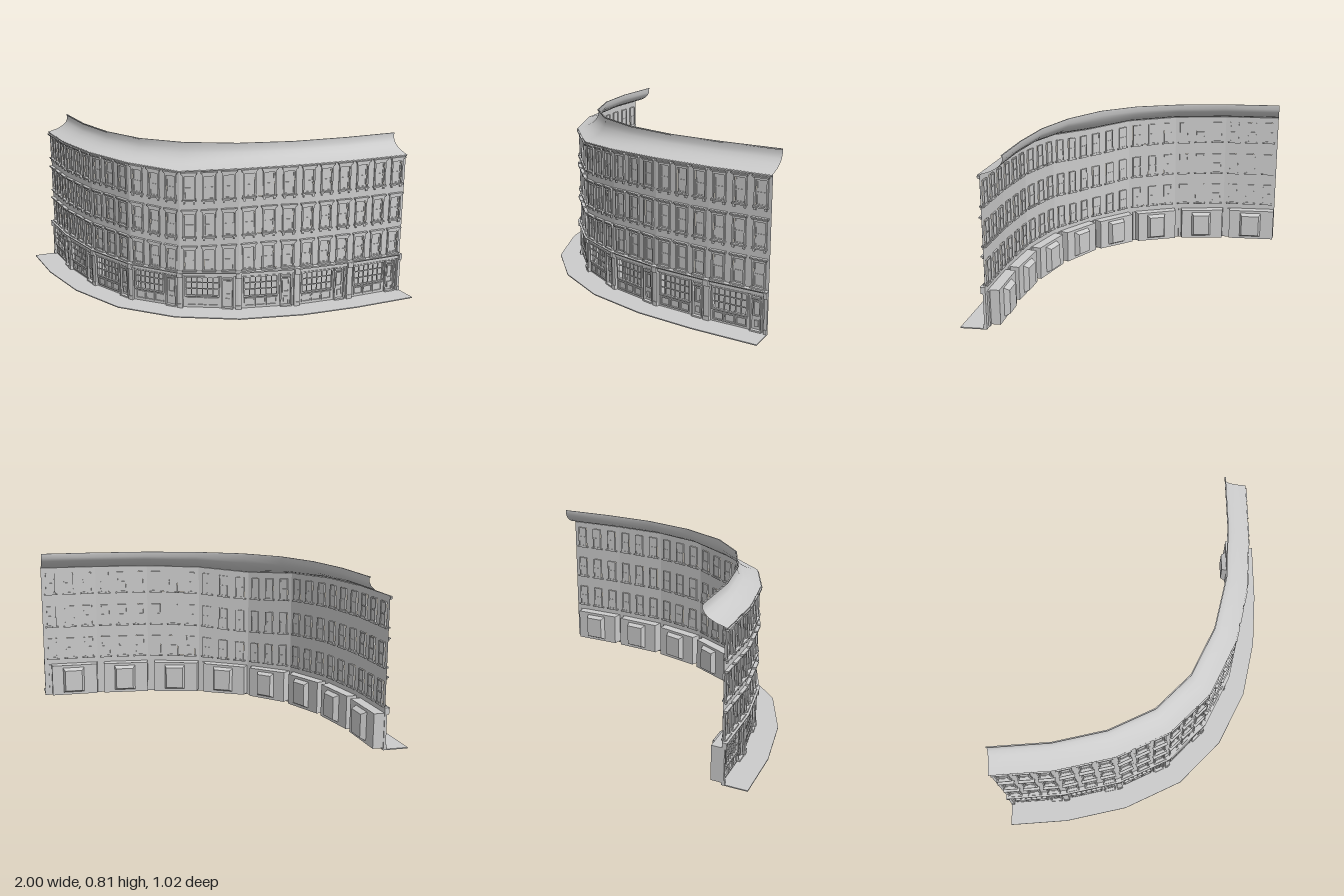
import * as THREE from 'three';
import { mergeGeometries } from 'three/addons/utils/BufferGeometryUtils.js';

// The terrace follows two polylines: back edge of the roof and outer edge of the pavement
const INNER = [[-0.79, -0.51], [-0.67, -0.24], [-0.53, -0.02], [-0.36, 0.15], [-0.15, 0.25], [0.11, 0.28], [0.38, 0.25], [0.65, 0.17], [0.91, 0.07]];
const OUTER = [[-1, -0.43], [-0.88, -0.16], [-0.71, 0.11], [-0.48, 0.34], [-0.2, 0.47], [0.11, 0.51], [0.42, 0.47], [0.7, 0.39], [1, 0.28]];
const BAYS = 8;
const WALL = -0.01; // depth of the wall sheet; depth 0 is halfway between the polylines
const FLOORS = [0.212, 0.393, 0.577];
const WIN_H = 0.113, WIN_W = 0.085; // window height, half width in bay units

const { lerp, smoothstep } = THREE.MathUtils;

// Straight street space (u along the street, y up, d outwards) to the curved street
function place(u, y, d) {
  const i = Math.min(BAYS - 1, Math.max(0, Math.floor(u)));
  const t = u - i, f = 0.5 + d / 0.23;
  const at = (k) => lerp(lerp(INNER[i][k], INNER[i + 1][k], t), lerp(OUTER[i][k], OUTER[i + 1][k], t), f);
  const x = at(0);
  // The old houses sag a little near the middle
  const sag = 0.025 * Math.exp(-(((x + 0.16) / 0.24) ** 2));
  return [x, y - sag * smoothstep(y, 0.1, 0.3) * (1 - smoothstep(y, 0.72, 0.8)), at(1)];
}

function bend(geo) {
  const p = geo.attributes.position;
  for (let i = 0; i < p.count; i++) p.setXYZ(i, ...place(p.getX(i), p.getY(i), p.getZ(i)));
  geo.computeVertexNormals();
  return geo;
}

function plain(geo) {
  const g = geo.index ? geo.toNonIndexed() : geo;
  g.deleteAttribute('uv');
  g.deleteAttribute('normal');
  return g;
}

function box(u0, u1, y0, y1, d0, d1) {
  return plain(new THREE.BoxGeometry(u1 - u0, y1 - y0, d1 - d0).translate((u0 + u1) / 2, (y0 + y1) / 2, (d0 + d1) / 2));
}

// Four bars around an opening
function frame(u0, u1, y0, y1, w, h, d0, d1) {
  return [
    box(u0, u0 + w, y0, y1, d0, d1), box(u1 - w, u1, y0, y1, d0, d1),
    box(u0 + w, u1 - w, y0, y0 + h, d0, d1), box(u0 + w, u1 - w, y1 - h, y1, d0, d1),
  ];
}

function rectPath(u0, u1, y0, y1, Type) {
  return new Type([[u0, y0], [u1, y0], [u1, y1], [u0, y1]].map(([u, y]) => new THREE.Vector2(u, y)));
}

export function createModel() {
  const group = new THREE.Group();
  const mat = new THREE.MeshStandardMaterial({ color: 0xcccccc, side: THREE.DoubleSide });
  const parts = {};
  const add = (name, ...geos) => (parts[name] ??= []).push(...geos);

  for (let b = 0; b < BAYS; b++) {
    // Wall sheet with openings for windows, shop window and door
    const wall = rectPath(b, b + 1, 0.005, 0.72, THREE.Shape);
    const centres = [1, 3, 5].map((k) => b + k / 6);
    for (const y of FLOORS) for (const c of centres) wall.holes.push(rectPath(c - WIN_W, c + WIN_W, y, y + WIN_H, THREE.Path));
    wall.holes.push(rectPath(b + 0.1, b + 0.66, 0.07, 0.172, THREE.Path));
    wall.holes.push(rectPath(b + 0.73, b + 0.9, 0.012, 0.172, THREE.Path));
    add('wall', plain(new THREE.ShapeGeometry(wall).translate(0, 0, WALL)));

    // Pavement
    add('pavement', box(b, b + 1, 0, 0.005, WALL, 0.115));

    // Upper windows
    for (const y of FLOORS) for (const c of centres) {
      const l = c - WIN_W, r = c + WIN_W, top = y + WIN_H, mid = y + WIN_H * 0.5;
      add('windowGlass', box(l, r, y, top, WALL - 0.006, WALL - 0.004));
      add('windowSash',
        ...frame(l, r, y, top, 0.018, 0.006, WALL - 0.009, WALL - 0.001),
        box(l, r, mid - 0.003, mid + 0.003, WALL - 0.009, WALL - 0.001));
      add('windowSurround',
        box(l - 0.025, l, y, top, WALL, WALL + 0.007), box(r, r + 0.025, y, top, WALL, WALL + 0.007),
        box(l - 0.025, r + 0.025, top, top + 0.01, WALL, WALL + 0.007));
      add('windowHood',
        box(l - 0.04, r + 0.04, top + 0.01, top + 0.016, WALL, WALL + 0.012),
        box(l - 0.05, r + 0.05, top + 0.016, top + 0.022, WALL, WALL + 0.017));
      add('windowSill',
        box(l - 0.035, r + 0.035, y - 0.007, y, WALL - 0.01, WALL + 0.014),
        box(l - 0.015, l + 0.015, y - 0.019, y - 0.007, WALL, WALL + 0.009),
        box(r - 0.015, r + 0.015, y - 0.019, y - 0.007, WALL, WALL + 0.009));
    }

    // Shop window with small panes and a panelled base
    add('shopWindow', ...frame(b + 0.08, b + 0.68, 0.064, 0.176, 0.025, 0.007, WALL - 0.004, WALL + 0.009));
    for (let k = 1; k < 6; k++) {
      const u = b + 0.1 + (0.56 * k) / 6;
      add('shopWindow', box(u - 0.007, u + 0.007, 0.07, 0.17, WALL - 0.003, WALL + 0.004));
    }
    for (const y of [0.104, 0.138]) add('shopWindow', box(b + 0.1, b + 0.66, y - 0.002, y + 0.002, WALL - 0.003, WALL + 0.004));
    for (let k = 0; k < 3; k++) {
      const u = b + 0.1 + k * 0.19;
      add('shopBasePanel', ...frame(u, u + 0.18, 0.015, 0.058, 0.018, 0.006, WALL, WALL + 0.006));
    }

    // Shop door with upper glazing and lower panel
    add('shopDoor',
      box(b + 0.73, b + 0.9, 0.012, 0.172, WALL - 0.008, WALL - 0.004),
      ...frame(b + 0.71, b + 0.92, 0.006, 0.176, 0.025, 0.006, WALL - 0.008, WALL + 0.008),
      ...frame(b + 0.755, b + 0.875, 0.075, 0.148, 0.02, 0.006, WALL - 0.005, WALL + 0.002),
      box(b + 0.78, b + 0.85, 0.026, 0.055, WALL - 0.005, WALL + 0.002),
      box(b + 0.735, b + 0.895, 0.153, 0.158, WALL - 0.005, WALL + 0.004),
      box(b + 0.72, b + 0.91, 0.004, 0.012, WALL, WALL + 0.014));

    // Pilasters between shops, with base and capital
    for (const [u0, u1] of [[b, b + 0.05], [b + 0.95, b + 1]]) {
      add('shopPilaster',
        box(u0, u1, 0.005, 0.185, WALL, WALL + 0.012),
        box(u0, u1, 0.005, 0.025, WALL, WALL + 0.016),
        box(u0, u1, 0.172, 0.198, WALL, WALL + 0.022));
    }

    // Shop fascia and cornice, eaves moulding
    add('shopFascia', box(b, b + 1, 0.178, 0.195, WALL, WALL + 0.01));
    add('shopCornice', box(b, b + 1, 0.195, 0.2, WALL, WALL + 0.018), box(b, b + 1, 0.2, 0.204, WALL, WALL + 0.024));
    add('eavesMoulding', box(b, b + 1, 0.713, 0.72, WALL, WALL + 0.01));

    // Shop room behind the front, open towards the shop window
    const back = -0.062;
    add('shopRoom',
      box(b + 0.01, b + 0.87, 0.01, 0.178, back, back + 0.002),
      box(b + 0.01, b + 0.02, 0.01, 0.178, back, WALL), box(b + 0.86, b + 0.87, 0.01, 0.178, back, WALL),
      box(b + 0.01, b + 0.87, 0.176, 0.178, back, WALL), box(b + 0.01, b + 0.87, 0.01, 0.012, back, WALL));

    // Tapered alcove on the back of the room
    const alcove = box(-0.2, 0.2, -0.07, 0.07, -0.026, 0);
    const p = alcove.attributes.position;
    for (let i = 0; i < p.count; i++) {
      if (p.getZ(i) < -0.01) p.setXY(i, p.getX(i) * 0.82, p.getY(i) * 0.82);
    }
    add('shopAlcove', alcove.translate(b + 0.46, 0.094, back));

    // Thin lip along the top of the roof
    add('roofLip', box(b, b + 1, 0.804, 0.81, -0.115, -0.109));
  }

  for (const [name, geos] of Object.entries(parts)) {
    const mesh = new THREE.Mesh(bend(mergeGeometries(geos)), mat);
    mesh.name = name;
    group.add(mesh);
  }

  // Concave roof sweeping back from the eaves, from a short profile of [depth, height]
  const profile = [[-0.114, 0.806], [-0.113, 0.785], [-0.104, 0.768], [-0.085, 0.75], [-0.055, 0.735], [-0.025, 0.726], [0.002, 0.719]];
  const roofGeo = new THREE.PlaneGeometry(BAYS, 1, BAYS, profile.length - 1);
  const rp = roofGeo.attributes.position;
  for (let i = 0; i < rp.count; i++) {
    const [d, y] = profile[Math.floor(i / (BAYS + 1))];
    rp.setXYZ(i, i % (BAYS + 1), y, d);
  }
  const roof = new THREE.Mesh(bend(roofGeo), mat);
  roof.name = 'roof';
  group.add(roof);

  return group;
}
